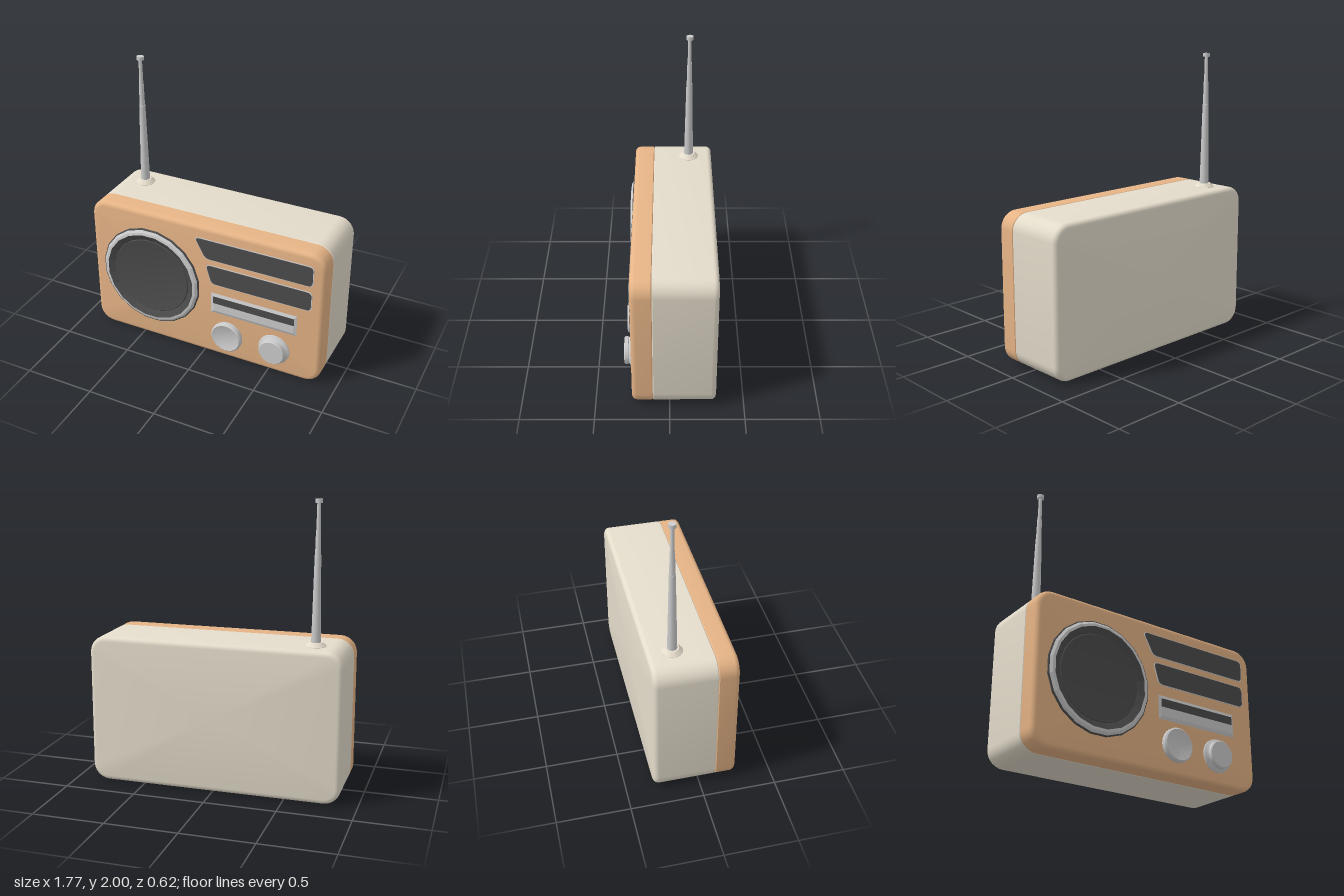
import * as THREE from 'three';
import { toCreasedNormals } from 'three/addons/utils/BufferGeometryUtils.js';

const mat = (color, opts = {}) => new THREE.MeshStandardMaterial({ color, ...opts });
const wood = mat(0xe6b486);
const cream = mat(0xe4dccb);
const dark = mat(0x4c4c4c);
const darkFlat = mat(0x4c4c4c, { flatShading: true });
const grey = mat(0xcccccc);
const greyFlat = mat(0xcccccc, { flatShading: true });
const FRONT = 0.254;

// Rounded rectangle outline, counter-clockwise
function roundedRect(hw, hh, r, seg = 7) {
  const pts = [];
  [[1, 1], [-1, 1], [-1, -1], [1, -1]].forEach(([sx, sy], c) => {
    for (let i = 0; i <= seg; i++) {
      const a = (c + i / seg) * Math.PI / 2;
      pts.push([sx * (hw - r) + r * Math.cos(a), sy * (hh - r) + r * Math.sin(a)]);
    }
  });
  return pts;
}

// Closed case half: inset outlines lofted along z, from back to front
function shell(profile) {
  const pos = [], idx = [];
  const n = roundedRect(1, 1, 0.1).length;
  profile.forEach(([inset, z]) => {
    for (const [x, y] of roundedRect(0.883 - inset, 0.52 - inset, 0.115 - inset)) pos.push(x, y + 0.52, z);
  });
  for (let k = 0; k < profile.length - 1; k++) {
    for (let i = 0; i < n; i++) {
      const a = k * n + i, b = k * n + (i + 1) % n;
      idx.push(a, b, b + n, a, b + n, a + n);
    }
  }
  const last = profile.length - 1, back = pos.length / 3;
  pos.push(0, 0.52, profile[0][1], 0, 0.52, profile[last][1]);
  for (let i = 0; i < n; i++) {
    const j = (i + 1) % n;
    idx.push(back, j, i, back + 1, last * n + i, last * n + j);
  }
  const g = new THREE.BufferGeometry();
  g.setAttribute('position', new THREE.Float32BufferAttribute(pos, 3));
  g.setIndex(idx);
  return toCreasedNormals(g, 0.6);
}

// Quarter-round edge, as [inset, z] pairs going forwards
function edge(r, zFace, dir) {
  const out = [];
  for (let i = 0; i <= 5; i++) {
    const a = i / 5 * Math.PI / 2;
    out.push([r * (1 - Math.cos(a)), zFace - dir * r * (1 - Math.sin(a))]);
  }
  return dir > 0 ? out : out.reverse();
}

// Polygon with rounded corners
function roundedPoly(points, r) {
  const v = points.map(p => new THREE.Vector2(...p));
  const s = new THREE.Shape();
  v.forEach((p, i) => {
    const prev = v[(i + v.length - 1) % v.length], next = v[(i + 1) % v.length];
    const a = p.clone().add(prev.clone().sub(p).setLength(r));
    const b = p.clone().add(next.clone().sub(p).setLength(r));
    if (i) s.lineTo(a.x, a.y); else s.moveTo(a.x, a.y);
    s.quadraticCurveTo(p.x, p.y, b.x, b.y);
  });
  s.closePath();
  return s;
}

const rect = (x0, y0, x1, y1) => [[x0, y0], [x1, y0], [x1, y1], [x0, y1]];

export function createModel() {
  const group = new THREE.Group();
  const add = (name, geo, material, x = 0, y = 0, z = 0, parent = group) => {
    const m = new THREE.Mesh(geo, material);
    m.name = name;
    m.position.set(x, y, z);
    parent.add(m);
    return m;
  };
  const lathe = (pts, seg) => new THREE.LatheGeometry(pts.map(p => new THREE.Vector2(...p)), seg);
  const smoothLathe = (pts, seg = 40) => toCreasedNormals(lathe(pts, seg), 0.5);
  const plate = (shape, depth, curveSegments = 5) =>
    new THREE.ExtrudeGeometry(shape, { depth, bevelEnabled: false, curveSegments });

  // Case: cream back and wooden front, with a small groove between
  add('backCase', shell([...edge(0.035, -0.312, -1), [0, 0.108], [0.006, 0.113]]), cream);
  add('frontCase', shell([[0.006, 0.113], [0, 0.118], ...edge(0.035, FRONT, 1)]), wood);

  // Speaker: faceted bezel around a dark dish
  const speaker = new THREE.Group();
  speaker.name = 'speaker';
  speaker.position.set(-0.415, 0.528, FRONT);
  speaker.rotation.x = Math.PI / 2;
  group.add(speaker);
  const turned = (name, pts, material, seg) => {
    add(name, lathe(pts, seg), material, 0, 0, 0, speaker).rotation.y = Math.PI / seg;
  };
  turned('speakerRim', [[0.384, -0.01], [0.384, 0.008], [0.376, 0.013]], darkFlat, 20);
  turned('speakerBezel', [[0.376, 0.013], [0.36, 0.026], [0.342, 0.029]], greyFlat, 20);
  turned('speakerSlope', [[0.342, 0.029], [0.302, 0.01], [0.295, 0.005]], darkFlat, 20);
  add('speakerGrille', smoothLathe([[0.3, 0.003], [0.29, 0.012], [0.278, 0.009], [0, 0.009]]),
    dark, 0, 0, 0, speaker);

  // Two slanted windows with thin grey surrounds
  [
    [[0.012, 0.794], [0.803, 0.794], [0.803, 0.952], [-0.068, 0.952]],
    [[0.058, 0.6], [0.8, 0.6], [0.8, 0.752], [0.015, 0.752]],
  ].forEach((pts, i) => {
    const cx = pts.reduce((s, p) => s + p[0], 0) / 4, cy = pts.reduce((s, p) => s + p[1], 0) / 4;
    const inner = pts.map(([x, y]) => [x - Math.sign(x - cx) * 0.006, y - Math.sign(y - cy) * 0.005]);
    add('windowSurround' + (i + 1), plate(roundedPoly(pts, 0.035), 0.012), grey, 0, 0, FRONT - 0.008);
    add('window' + (i + 1), plate(roundedPoly(inner, 0.033), 0.014), dark, 0, 0, FRONT - 0.008);
  });

  // Tuner: bevelled frame with a dark scale
  const frame = new THREE.ExtrudeGeometry(new THREE.Shape(rect(0.08, 0.385, 0.68, 0.505).map(p => new THREE.Vector2(...p))),
    { depth: 0.004, bevelThickness: 0.008, bevelSize: 0.022, bevelSegments: 1 });
  add('tunerFrame', frame, grey, 0, 0, FRONT - 0.004);
  add('tunerScale', new THREE.BoxGeometry(0.606, 0.056, 0.006), dark, 0.38, 0.476, FRONT + 0.007);

  // Knobs
  const knob = (name, x, pts) => {
    add(name, smoothLathe(pts), grey, x, 0.2, FRONT).rotation.x = Math.PI / 2;
  };
  knob('volumeKnob', 0.19, [[0.108, -0.01], [0.108, 0.012], [0.115, 0.014], [0.115, 0.036],
    [0.104, 0.046], [0.1, 0.044], [0, 0.044]]);
  knob('tuningKnob', 0.543, [[0.115, -0.01], [0.115, 0.009], [0.092, 0.022], [0.088, 0.026],
    [0.095, 0.03], [0.095, 0.05], [0.088, 0.057], [0, 0.057]]);

  // Telescopic antenna
  const antenna = new THREE.Group();
  antenna.name = 'antenna';
  antenna.position.set(-0.668, 0, -0.142);
  group.add(antenna);
  add('antennaBase', smoothLathe([[0.07, 1.03], [0.07, 1.042], [0.045, 1.066], [0, 1.066]], 28), cream, 0, 0, 0, antenna);
  [
    [0.033, 0.0215, 1.06, 1.64],
    [0.0195, 0.0165, 1.64, 1.8],
    [0.0145, 0.012, 1.8, 1.975],
    [0.025, 0.025, 1.975, 2],
  ].forEach(([r0, r1, y0, y1], i) => {
    add(i < 3 ? 'antennaSection' + (i + 1) : 'antennaTip',
      new THREE.CylinderGeometry(r1, r0, y1 - y0, 16), grey, 0, (y0 + y1) / 2, 0, antenna);
  });

  return group;
}
